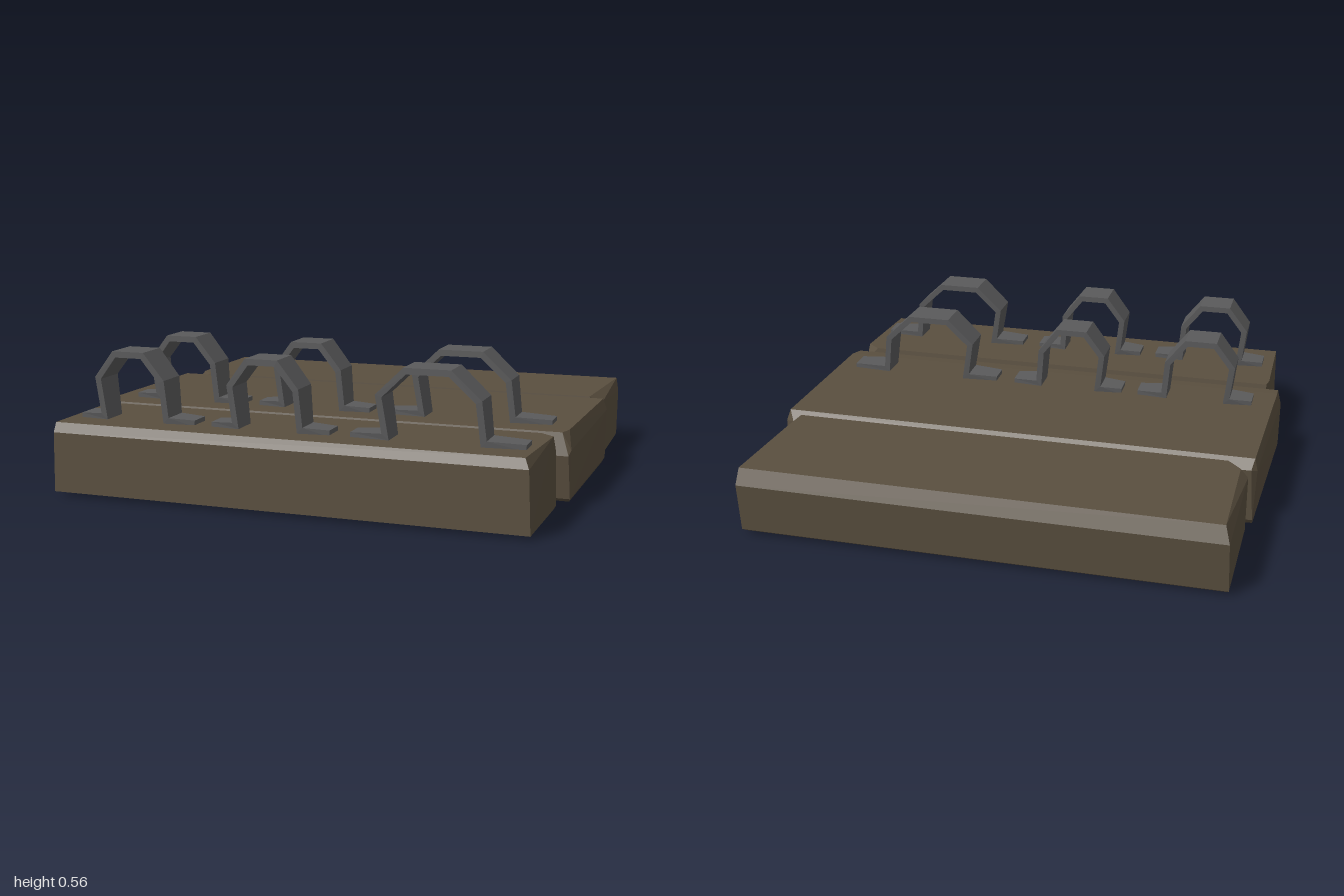
import * as THREE from 'three';
import { ConvexGeometry } from 'three/addons/geometries/ConvexGeometry.js';

const wood = new THREE.MeshStandardMaterial({ color: 0x5a4f3f, flatShading: true });
wood.name = 'darkWood';
const iron = new THREE.MeshStandardMaterial({ color: 0x5a5a5b, flatShading: true });
iron.name = 'greyIron';

// Rough-hewn plank: convex hull of a few edge rows [z, y, xLeft, xRight]
function makePlank(name, rows) {
  const points = rows.flatMap(([z, y, x0, x1]) => [
    new THREE.Vector3(x0, y, z), new THREE.Vector3(x1, y, z)]);
  const mesh = new THREE.Mesh(new ConvexGeometry(points), wood);
  mesh.name = name;
  return mesh;
}

// Bracket centreline stations: [fraction of length, top y, half width]
const STATIONS = [
  [0, 0.305, 0.045], [0.19, 0.31, 0.057], [0.155, 0.455, 0.066], [0.32, 0.56, 0.07],
  [0.59, 0.56, 0.07], [0.76, 0.455, 0.066], [0.785, 0.31, 0.057], [1, 0.305, 0.045],
];
const THICK = 0.024;

// Bent metal strap lofted from rectangular cross-sections
function makeBracket(name, x0, x1, z) {
  const outer = STATIONS.map(([t, y]) => new THREE.Vector2(x0 + t * (x1 - x0), y));
  const last = outer.length - 1;
  const normal = (i) => {
    const d = outer[i + 1].clone().sub(outer[i]).normalize();
    return new THREE.Vector2(d.y, -d.x);
  };
  const position = [], index = [];
  outer.forEach((p, i) => {
    // Mitred offset towards the inside of the bend
    const a = normal(Math.max(i - 1, 0)), b = normal(Math.min(i, last - 1));
    const inner = a.clone().add(b).multiplyScalar(THICK / (1 + a.dot(b))).add(p);
    const w = STATIONS[i][2];
    position.push(p.x, p.y, z + w, p.x, p.y, z - w,
      inner.x, inner.y, z - w, inner.x, inner.y, z + w);
    if (i === last) return;
    for (let k = 0; k < 4; k++) {
      const c = i * 4 + k, d = i * 4 + (k + 1) % 4;
      index.push(c, c + 4, d, d, c + 4, d + 4);
    }
  });
  // End caps
  const e = last * 4;
  index.push(0, 1, 2, 0, 2, 3, e, e + 2, e + 1, e, e + 3, e + 2);
  const geometry = new THREE.BufferGeometry();
  geometry.setAttribute('position', new THREE.Float32BufferAttribute(position, 3));
  geometry.setIndex(index);
  geometry.computeVertexNormals();
  const mesh = new THREE.Mesh(geometry, iron);
  mesh.name = name;
  return mesh;
}

export function createModel() {
  const model = new THREE.Group();
  model.name = 'plankRack';

  // Three planks with worn edges
  model.add(
    makePlank('backPlank', [
      [-0.35, 0.285, -0.86, 0.92], [-0.41, 0.285, -0.915, 0.925], [-0.345, 0.22, -0.87, 0.955],
      [-0.41, 0.25, -0.945, 0.965], [-0.36, 0.0, -0.93, 0.95], [-0.40, 0.02, -0.945, 0.97],
      [-0.87, 0.283, -0.915, 0.955], [-0.90, 0.22, -0.935, 0.96],
      [-0.88, 0.02, -0.94, 0.96], [-0.85, 0.0, -0.93, 0.95],
    ]),
    makePlank('middlePlank', [
      [0.41, 0.285, -0.985, 0.95], [0.36, 0.287, -0.985, 0.968], [0.435, 0.2, -0.99, 0.98],
      [0.415, 0.22, -1.0, 0.987], [0.41, 0.03, -1.0, 0.985], [0.37, 0.01, -0.985, 0.975],
      [-0.31, 0.287, -0.96, 0.985], [-0.345, 0.25, -0.95, 0.96], [-0.32, 0.24, -0.972, 1.0],
      [-0.335, 0.03, -0.965, 0.995], [-0.32, 0.01, -0.965, 0.985],
    ]),
    makePlank('frontPlank', [
      [0.875, 0.287, -0.935, 0.912], [0.895, 0.25, -0.935, 0.93], [0.895, 0.015, -0.94, 0.94],
      [0.5, 0.287, -0.938, 0.935], [0.455, 0.287, -0.93, 0.88],
      [0.447, 0.22, -0.93, 0.935], [0.447, 0.01, -0.935, 0.94], [0.5, 0.01, -0.94, 0.942],
    ]),
  );

  // Two rows of three brackets
  const spans = [['right', -0.89, -0.4], ['centre', -0.33, 0.15], ['left', 0.23, 0.89]];
  for (const [row, z] of [['Front', 0.71], ['Middle', 0.253]]) {
    for (const [side, x0, x1] of spans) model.add(makeBracket(`${side}${row}Bracket`, x0, x1, z));
  }
  return model;
}
